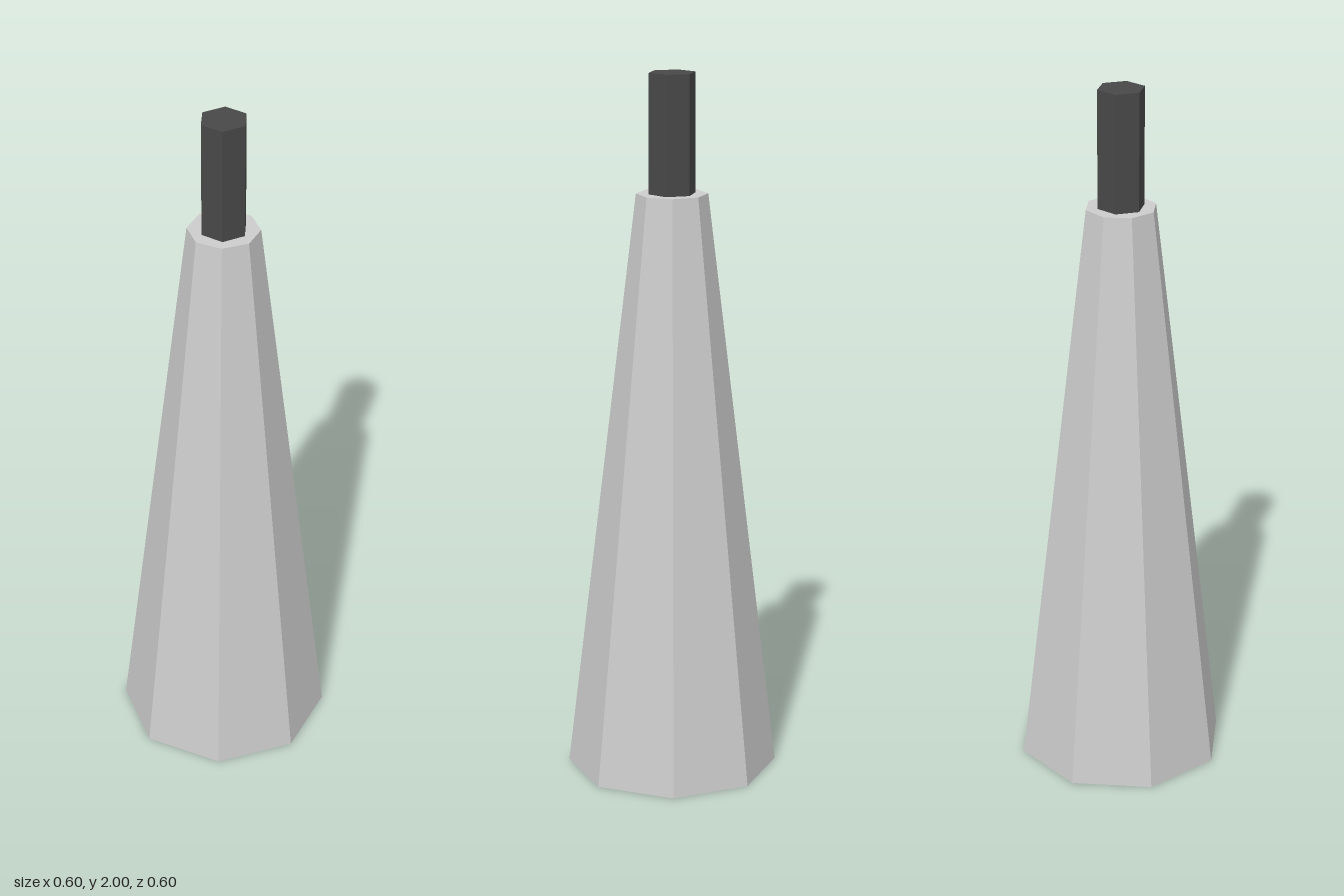
import * as THREE from 'three';

const lightGrey = new THREE.MeshStandardMaterial({ name: 'lightGrey', color: 0xcccccc, flatShading: true });
const darkGrey = new THREE.MeshStandardMaterial({ name: 'darkGrey', color: 0x484848, flatShading: true });

// Prism or frustum standing on height y, with a corner facing the front
function prism(name, topRadius, bottomRadius, height, sides, y, material) {
  const geometry = new THREE.CylinderGeometry(topRadius, bottomRadius, height, sides);
  const mesh = new THREE.Mesh(geometry, material);
  mesh.name = name;
  mesh.position.y = y + height / 2;
  return mesh;
}

export function createModel() {
  const group = new THREE.Group();
  group.name = 'taperedTower';
  const bodyHeight = 5 / 3;

  // Tapered octagonal body
  group.add(prism('body', 0.1, 0.3, bodyHeight, 8, 0, lightGrey));
  // Hexagonal rod on top
  group.add(prism('topRod', 0.0667, 0.0667, 2 - bodyHeight, 6, bodyHeight, darkGrey));

  return group;
}
